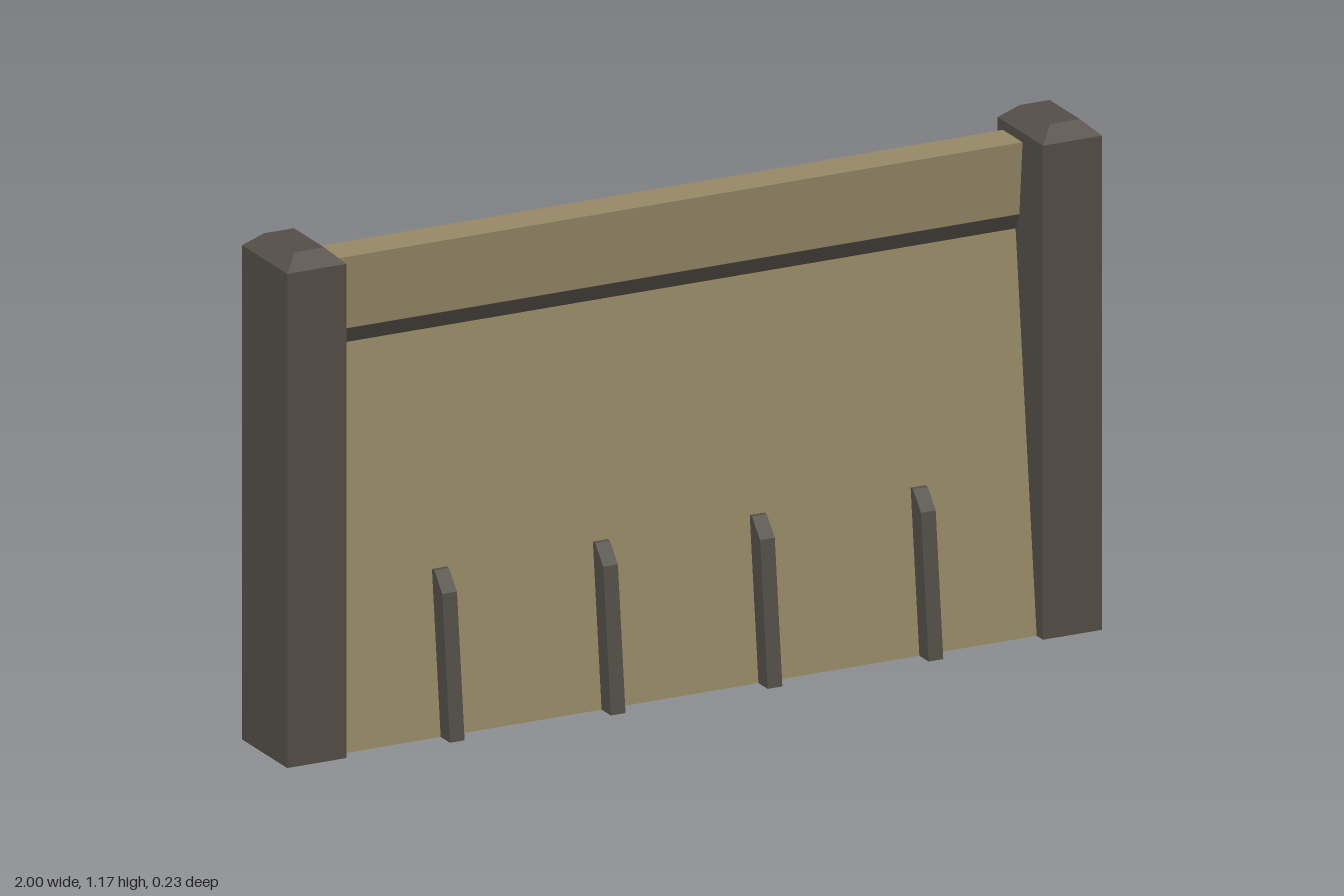
import * as THREE from 'three';

const mat = (name, color) => {
  const m = new THREE.MeshStandardMaterial({ color });
  m.name = name;
  return m;
};

// Extrude a [z, y] side profile along x, centred on x = 0
function sideExtrude(points, width) {
  const shape = new THREE.Shape(points.map(([z, y]) => new THREE.Vector2(-z, y)));
  const geo = new THREE.ExtrudeGeometry(shape, { depth: width, bevelEnabled: false });
  geo.translate(0, 0, -width / 2);
  geo.rotateY(Math.PI / 2);
  return geo;
}

export function createModel() {
  const tan = mat('tan panel', 0x988a67);
  const dark = mat('dark frame', 0x544f47);
  const group = new THREE.Group();
  const add = (name, geo, material, x = 0, y = 0, z = 0) => {
    const mesh = new THREE.Mesh(geo, material);
    mesh.name = name;
    mesh.position.set(x, y, z);
    group.add(mesh);
  };

  // Wall panel: sloped front, overhanging upper band
  const wall = [[-0.09, 0], [0.07, 0], [-0.03, 0.91], [-0.012, 0.948], [0.003, 1.118], [-0.09, 1.118]];
  add('wallPanel', sideExtrude(wall, 1.72), tan);

  // Dark strip under the upper band
  const strip = [[-0.05, 0.91], [-0.028, 0.91], [-0.01, 0.948], [-0.05, 0.948]];
  add('darkStrip', sideExtrude(strip, 1.72), dark);

  // End posts with chamfered caps
  const w = 0.145, d = 0.215, h = 1.14, capH = 0.033, inset = 0.036;
  for (const [side, s] of [['left', 1], ['right', -1]]) {
    const x = s * (1 - w / 2), z = -0.0075;
    add(side + 'Post', new THREE.BoxGeometry(w, h, d),
      [dark, dark, dark, tan, dark, dark], x, h / 2, z);
    const cap = new THREE.BoxGeometry(w, capH, d);
    const p = cap.attributes.position;
    for (let i = 0; i < p.count; i++) {
      if (p.getY(i) < 0) continue;
      p.setX(i, p.getX(i) - Math.sign(p.getX(i)) * inset);
      p.setZ(i, p.getZ(i) - Math.sign(p.getZ(i)) * inset);
    }
    const flat = cap.toNonIndexed();
    flat.computeVertexNormals();
    add(side + 'PostCap', flat, dark, x, h + capH / 2, z);
  }

  // Low ribs following the front slope
  const rib = [[0.04, 0], [0.114, 0], [0.078, 0.332], [0.04, 0.375], [0.01, 0.375]];
  for (const x of [-0.59, -0.195, 0.19, 0.585]) add('rib', sideExtrude(rib, 0.036), dark, x);

  return group;
}
